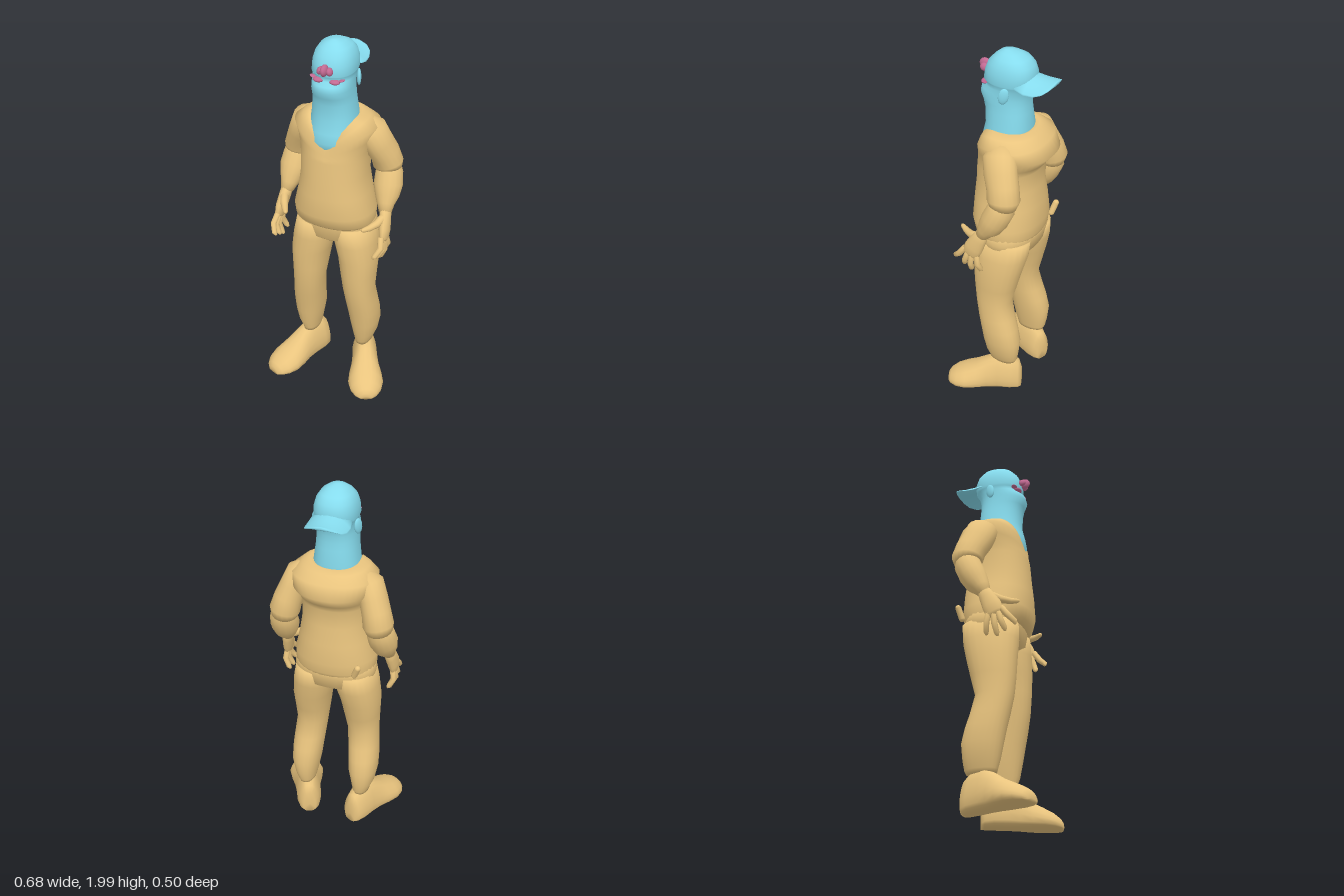
import * as THREE from 'three';

const tan = new THREE.MeshStandardMaterial({ color: 0xe9c47e, side: THREE.DoubleSide });
const blue = new THREE.MeshStandardMaterial({ color: 0x86dcee, side: THREE.DoubleSide });
const pink = new THREE.MeshStandardMaterial({ color: 0xc26a92 });
const V = (x, y, z) => new THREE.Vector3(x, y, z);

// Smooth closed skin over a stack of equal loops, capped at both ends
function skin(rings) {
  const n = rings[0].length, pos = [], idx = [];
  rings.forEach(r => r.forEach(p => pos.push(p.x, p.y, p.z)));
  for (let i = 0; i < rings.length - 1; i++)
    for (let j = 0; j < n; j++) {
      const a = i * n + j, b = i * n + (j + 1) % n;
      idx.push(a, b, a + n, b, b + n, a + n);
    }
  [0, rings.length - 1].forEach((r, end) => {
    const c = V(0, 0, 0);
    rings[r].forEach(p => c.addScaledVector(p, 1 / n));
    const ci = pos.length / 3;
    pos.push(c.x, c.y, c.z);
    for (let j = 0; j < n; j++) {
      const a = r * n + j, b = r * n + (j + 1) % n;
      idx.push(ci, ...(end ? [a, b] : [b, a]));
    }
  });
  const g = new THREE.BufferGeometry();
  g.setAttribute('position', new THREE.Float32BufferAttribute(pos, 3));
  g.setIndex(idx);
  g.computeVertexNormals();
  return g;
}

const loop = (n, f) => Array.from({ length: n }, (_, j) => {
  const a = j / n * Math.PI * 2;
  return f(Math.cos(a), Math.sin(a));
});
const squash = (v, p) => Math.sign(v) * Math.abs(v) ** p;

// Horizontal loop between two x and two z limits
const flat = (y, x0, x1, zf, zb, p = 0.9, n = 32) => loop(n, (c, s) =>
  V((x0 + x1) / 2 + (x1 - x0) / 2 * squash(c, p), y, (zf + zb) / 2 - (zf - zb) / 2 * squash(s, p)));

// Limb along points [x, y, z, sideways radius, other radius]
function limb(points, n = 14) {
  const P = points.map(p => V(p[0], p[1], p[2]));
  return skin(points.map((p, i) => {
    const t = P[Math.min(i + 1, P.length - 1)].clone().sub(P[Math.max(i - 1, 0)]).normalize();
    const u = V(1, 0, 0).addScaledVector(t, -t.x).normalize();
    const w = t.clone().cross(u);
    return loop(n, (c, s) => P[i].clone().addScaledVector(u, c * p[3]).addScaledVector(w, s * (p[4] ?? p[3])));
  }));
}

function mirror(geo) {
  const g = geo.clone().scale(-1, 1, 1), ix = g.index.array;
  for (let i = 0; i < ix.length; i += 3) [ix[i], ix[i + 1]] = [ix[i + 1], ix[i]];
  g.computeVertexNormals();
  return g;
}

export function createModel() {
  const root = new THREE.Group();
  const add = (name, geo, mat) => {
    const m = new THREE.Mesh(geo, mat);
    m.name = name;
    root.add(m);
    return m;
  };
  const pair = (name, geo, mat) => {
    add('left' + name, geo, mat);
    add('right' + name, mirror(geo), mat);
  };
  const ball = (x, y, z, rx, ry, rz, tilt = 0) =>
    new THREE.SphereGeometry(1, 14, 10).scale(rx, ry, rz).rotateZ(tilt).translate(x, y, z);

  // Shirt with hanging hood at the back and a V neckline in front
  const shirt = [
    [1.0, 0.2, 0.13, -0.165], [1.03, 0.21, 0.165, -0.175], [1.09, 0.212, 0.182, -0.183],
    [1.2, 0.187, 0.178, -0.178], [1.3, 0.172, 0.168, -0.165], [1.4, 0.175, 0.16, -0.165],
    [1.44, 0.18, 0.156, -0.19], [1.5, 0.2, 0.15, -0.238], [1.56, 0.215, 0.145, -0.2],
    [1.6, 0.165, 0.14, -0.16], [1.62, 0.125, 0.135, -0.135], [1.6, 0.1, 0.1, -0.1],
  ].map(([y, rx, zf, zb]) => {
    const ring = flat(y, -rx, rx, zf, zb, 0.9, 40);
    if (y > 1.4) ring.forEach((p, j) => {
      if (j < 20) return;
      const top = Math.min(1.62, 1.48 + 1.15 * 0.125 * Math.abs(p.x) / rx);
      p.y = 1.4 + (y - 1.4) * (top - 1.4) / 0.22;
    });
    return ring;
  });
  add('shirt', skin(shirt), tan);

  // Trousers
  add('hips', skin([
    [0.9, 0.1, 0.09, -0.11], [0.93, 0.205, 0.125, -0.155], [1.0, 0.213, 0.135, -0.17], [1.06, 0.205, 0.14, -0.17],
  ].map(([y, r, f, b]) => flat(y, -r, r, f, b))), tan);
  pair('Leg', skin([
    [0.2, 0.115, 0.2, 0.035, -0.115], [0.22, 0.11, 0.205, 0.04, -0.125], [0.27, 0.1, 0.225, 0.055, -0.133],
    [0.35, 0.085, 0.24, 0.07, -0.14], [0.43, 0.077, 0.24, 0.085, -0.122], [0.5, 0.07, 0.235, 0.1, -0.1],
    [0.6, 0.06, 0.226, 0.118, -0.077], [0.7, 0.045, 0.23, 0.127, -0.103], [0.8, 0.03, 0.235, 0.132, -0.128],
    [0.9, 0.004, 0.225, 0.135, -0.153], [1.0, 0.004, 0.205, 0.13, -0.163],
  ].map(([y, a, b, f, k]) => flat(y, a, b, f, k, 0.9, 22))), tan);

  // Shoes, turned outward: [distance from heel, half width, height]
  pair('Shoe', skin([
    [0, 0.035, 0.13], [0.015, 0.055, 0.18], [0.06, 0.068, 0.205], [0.13, 0.07, 0.21], [0.19, 0.076, 0.18],
    [0.25, 0.09, 0.14], [0.31, 0.097, 0.11], [0.36, 0.085, 0.085], [0.395, 0.06, 0.06], [0.41, 0.035, 0.04],
  ].map(([d, w, h]) => loop(20, (c, s) => {
    const side = w * squash(c, 0.75) * (s > 0 ? 1 - 0.2 * s : 1);
    return V(0.12 + 0.39 * d - 0.92 * side, 0.01 + h * (0.35 + (s > 0 ? 0.65 * s : 0.35 * squash(s, 0.5))),
      -0.135 + 0.92 * d + 0.39 * side);
  }))), tan);

  // Sleeves, forearms and hands
  pair('Sleeve', limb([
    [0.14, 1.55, -0.03, 0.05, 0.07], [0.175, 1.52, -0.04, 0.072, 0.09], [0.205, 1.45, -0.06, 0.07, 0.088],
    [0.228, 1.39, -0.085, 0.072, 0.083], [0.243, 1.33, -0.098, 0.077, 0.083], [0.247, 1.3, -0.093, 0.068, 0.07],
  ], 18), tan);
  pair('Forearm', limb([
    [0.248, 1.34, -0.1, 0.055], [0.254, 1.28, -0.09, 0.07], [0.26, 1.22, -0.062, 0.075, 0.07],
    [0.265, 1.17, -0.035, 0.062], [0.268, 1.135, -0.01, 0.045], [0.274, 1.1, 0.01, 0.033],
  ], 16), tan);
  pair('Palm', limb([
    [0.272, 1.12, 0.0, 0.03, 0.032], [0.28, 1.07, 0.025, 0.029, 0.042], [0.288, 1.02, 0.05, 0.027, 0.05],
    [0.291, 0.98, 0.066, 0.021, 0.048], [0.29, 0.965, 0.072, 0.012, 0.035],
  ]), tan);
  [[0.1, 1.0, 0.165, 0.91], [0.083, 0.98, 0.113, 0.882], [0.06, 0.975, 0.073, 0.86], [0.034, 0.985, 0.018, 0.872]]
    .forEach(([z0, y0, z1, y1], i) => pair('Finger' + (i + 1), limb([
      [0.288, y0, z0, 0.016], [0.298, (y0 + y1) / 2, (z0 + z1) / 2, 0.016],
      [0.278, y1 + 0.012, z1, 0.014], [0.268, y1, z1, 0.007],
    ], 8), tan));
  pair('Thumb', limb([
    [0.278, 1.085, 0.035, 0.022], [0.255, 1.065, 0.085, 0.02], [0.23, 1.06, 0.13, 0.016],
    [0.214, 1.064, 0.158, 0.012], [0.208, 1.066, 0.168, 0.006],
  ], 10), tan);

  // Small toggle on the back of the hip
  const toggle = add('hipToggle', new THREE.CapsuleGeometry(0.016, 0.06, 4, 10), tan);
  toggle.position.set(-0.152, 1.07, -0.165);
  toggle.rotation.set(-0.25, 0, 0.35);

  // Neck, masked face and cap crown
  add('head', skin([
    [1.42, 0.12, 0.135, -0.09], [1.5, 0.125, 0.146, -0.1], [1.55, 0.122, 0.138, -0.11], [1.62, 0.113, 0.122, -0.112],
    [1.7, 0.103, 0.127, -0.103], [1.74, 0.101, 0.137, -0.1], [1.775, 0.1, 0.153, -0.1], [1.805, 0.1, 0.145, -0.105],
    [1.825, 0.1, 0.122, -0.112], [1.845, 0.102, 0.12, -0.12], [1.855, 0.108, 0.132, -0.128], [1.9, 0.106, 0.124, -0.13],
    [1.94, 0.095, 0.108, -0.117], [1.97, 0.075, 0.08, -0.09], [1.99, 0.045, 0.055, -0.05], [2.0, 0.015, 0.03, 0],
  ].map(([y, r, f, b]) => flat(y, -r, r, f, b, 0.88))), blue);

  // Backward cap peak: [z, half width, height, droop at the sides]
  add('capPeak', skin([
    [-0.07, 0.1, 1.9, 0.045], [-0.12, 0.106, 1.893, 0.045], [-0.17, 0.104, 1.886, 0.038],
    [-0.21, 0.092, 1.884, 0.03], [-0.232, 0.068, 1.886, 0.025], [-0.242, 0.035, 1.887, 0.02],
  ].map(([z, w, y, droop]) => loop(24, (c, s) =>
    V(w * c, y - droop * (w * c / 0.1) ** 2 - 0.008 * s, z)))), blue);
  pair('Ear', ball(0, 0, 0, 0.011, 0.042, 0.026).rotateX(-0.2).rotateY(0.4).translate(0.11, 1.81, -0.02), blue);

  // Puffy eyelids and the tuft on the forehead
  pair('Eyelid', ball(0.042, 1.828, 0.115, 0.027, 0.012, 0.022), pink);
  pair('EyeCorner', ball(0.07, 1.835, 0.105, 0.02, 0.005, 0.016, 0.3), pink);
  add('tuftCentre', ball(0, 1.892, 0.142, 0.018, 0.029, 0.032), pink);
  pair('TuftLobe', ball(0.024, 1.886, 0.135, 0.015, 0.02, 0.022, 0.3), pink);
  return root;
}
